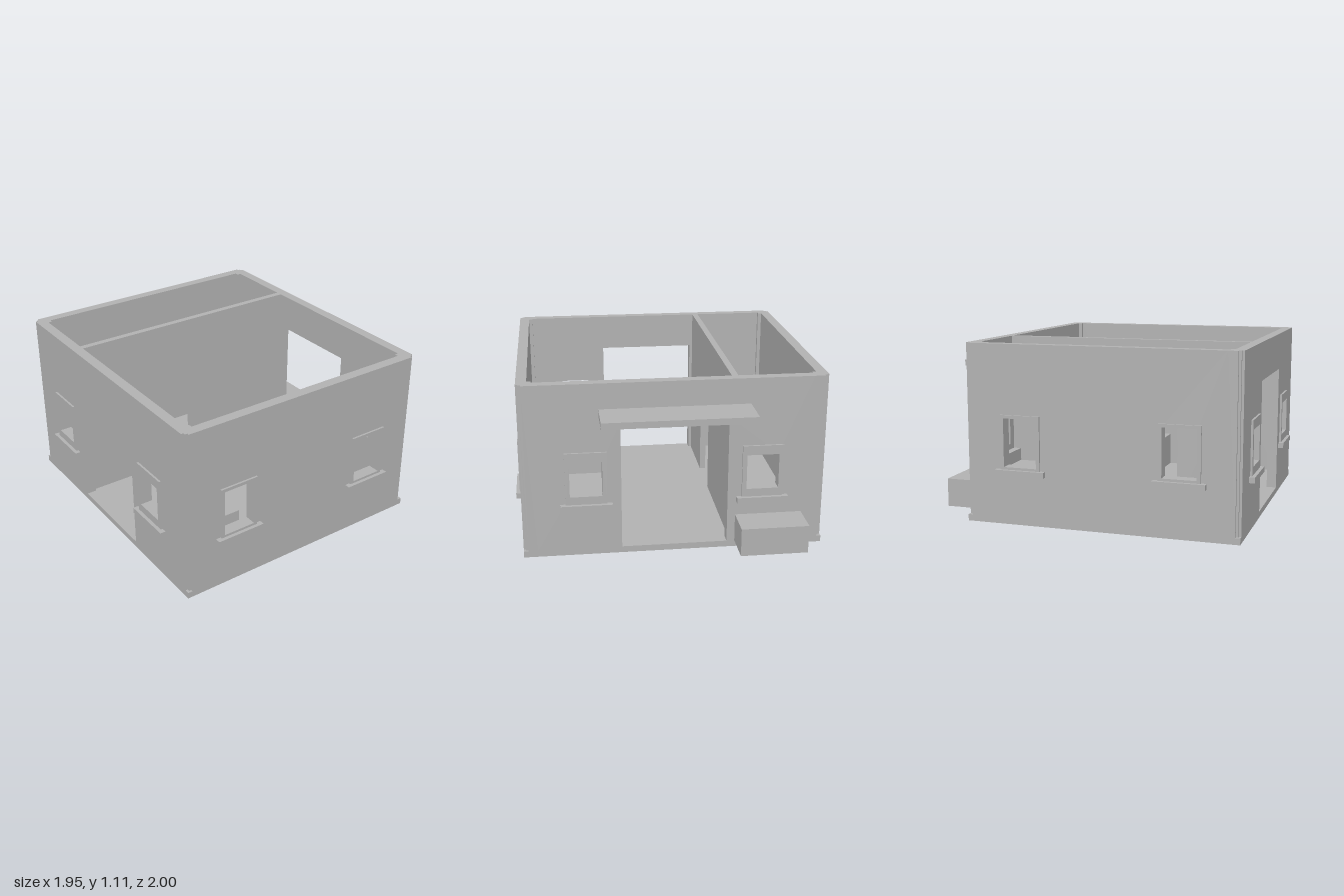
import * as THREE from 'three';

const concrete = new THREE.MeshStandardMaterial({ color: 0xb2b2b2 });
concrete.name = 'concrete grey';

const X = 0.94, ZF = 0.96, ZB = -0.755;   // outer faces of the house
const FLOOR = 0.04, TOP = 1.11, T = 0.065; // slab top, wall top, wall thickness
const END = 0.09;                          // length taken by each corner piece

function add(parent, geometry, name) {
  const mesh = new THREE.Mesh(geometry, concrete);
  mesh.name = name;
  parent.add(mesh);
  return mesh;
}

// Box given by its limits on each axis
function box(parent, name, x0, x1, y0, y1, z0, z1) {
  const mesh = add(parent, new THREE.BoxGeometry(x1 - x0, y1 - y0, z1 - z0), name);
  mesh.position.set((x0 + x1) / 2, (y0 + y1) / 2, (z0 + z1) / 2);
  return mesh;
}

const polygon = (points) => new THREE.Shape(points.map(([x, y]) => new THREE.Vector2(x, y)));
const rectPoints = (x0, x1, y0, y1) => [[x0, y0], [x1, y0], [x1, y1], [x0, y1]];
const extrude = (shape, depth) => new THREE.ExtrudeGeometry(shape, { depth, bevelEnabled: false });

// Wall with two framed windows and an optional doorway; its outer face is local z = 0
function wall(name, half, windowX, opening, door) {
  const group = new THREE.Group();
  group.name = name;
  const h = half - END;
  const outline = door
    ? [[-h, FLOOR], [-0.33, FLOOR], [-0.33, 0.87], [0.33, 0.87], [0.33, FLOOR], [h, FLOOR], [h, TOP], [-h, TOP]]
    : rectPoints(-h, h, FLOOR, TOP);
  const panel = polygon(outline);
  for (const cx of [-windowX, windowX]) {
    const hole = rectPoints(cx - opening.w / 2, cx + opening.w / 2, opening.y0, opening.y1);
    panel.holes.push(polygon(hole));
    // Raised frame and sill
    const frame = polygon(rectPoints(cx - 0.128, cx + 0.128, 0.34, 0.68));
    frame.holes.push(polygon(hole));
    add(group, extrude(frame, 0.013), 'windowFrame');
    box(group, 'windowSill', cx - 0.16, cx + 0.16, 0.31, 0.345, 0, 0.035);
  }
  add(group, extrude(panel, T), 'wallPanel').position.z = -T;
  return group;
}

export function createModel() {
  const house = new THREE.Group();
  house.name = 'house';

  box(house, 'floorSlab', -X, X, 0, FLOOR, ZB, ZF);

  // Outer walls
  const small = { w: 0.2, y0: 0.396, y1: 0.62 };
  const tall = { w: 0.21, y0: 0.36, y1: 0.66 };
  const midZ = (ZF + ZB) / 2, halfZ = (ZF - ZB) / 2;
  const walls = [
    ['frontWall', X, 0.545, small, true, 0, ZF, 0],
    ['backWall', X, 0.545, small, true, 0, ZB, Math.PI],
    ['leftWall', halfZ, 0.497, tall, false, X, midZ, Math.PI / 2],
    ['rightWall', halfZ, 0.497, tall, false, -X, midZ, -Math.PI / 2],
  ];
  for (const [name, half, windowX, opening, door, x, z, turn] of walls) {
    const w = wall(name, half, windowX, opening, door);
    w.position.set(x, 0, z);
    w.rotation.y = turn;
    house.add(w);
  }

  // Corner pieces, notched outside and thickened inside
  const corner = [
    [0.03, 0], [END, 0], [END, END], [0, END], [0, 0.03],
    [0.015, 0.03], [0.015, 0.015], [0.03, 0.015],
  ];
  for (const sx of [-1, 1]) {
    for (const front of [true, false]) {
      const points = corner.map(([a, b]) => [sx * (X - a), front ? -(ZF - b) : -(ZB + b)]);
      const geometry = extrude(polygon(points), TOP - FLOOR).rotateX(-Math.PI / 2);
      add(house, geometry, 'cornerPost').position.y = FLOOR;
    }
  }

  // Inner partition with a doorway; shape x runs towards the back
  const partition = polygon([
    [-0.9, FLOOR], [-0.44, FLOOR], [-0.44, 0.69], [-0.1, 0.69], [-0.1, FLOOR],
    [0.69, FLOOR], [0.69, TOP], [-0.9, TOP],
  ]);
  add(house, extrude(partition, 0.04).rotateY(Math.PI / 2), 'partition').position.x = -0.39;

  // Canopy and bench block behind the house
  box(house, 'canopy', -0.46, 0.46, 0.91, 0.95, -1, ZB);
  box(house, 'outdoorBlock', -0.8, -0.38, FLOOR, 0.22, -0.97, ZB);

  // Furniture in the main room
  box(house, 'sideCabinet', 0.68, X - T, FLOOR, 0.27, -0.32, 0.05);
  box(house, 'table', 0.36, 0.725, FLOOR, 0.3, 0.44, 0.66);

  // Stepped unit in the narrow room
  const unit = new THREE.Group();
  unit.name = 'steppedUnit';
  house.add(unit);
  box(unit, 'unitBody', -0.62, -0.39, FLOOR, 0.28, -0.64, -0.31);
  box(unit, 'unitBack', -0.62, -0.39, FLOOR, 0.36, -0.69, -0.64);
  box(unit, 'unitStep', -0.62, -0.39, FLOOR, 0.18, -0.31, -0.13);
  box(unit, 'unitPad', -0.6, -0.42, 0.18, 0.21, -0.29, -0.16);

  return house;
}
